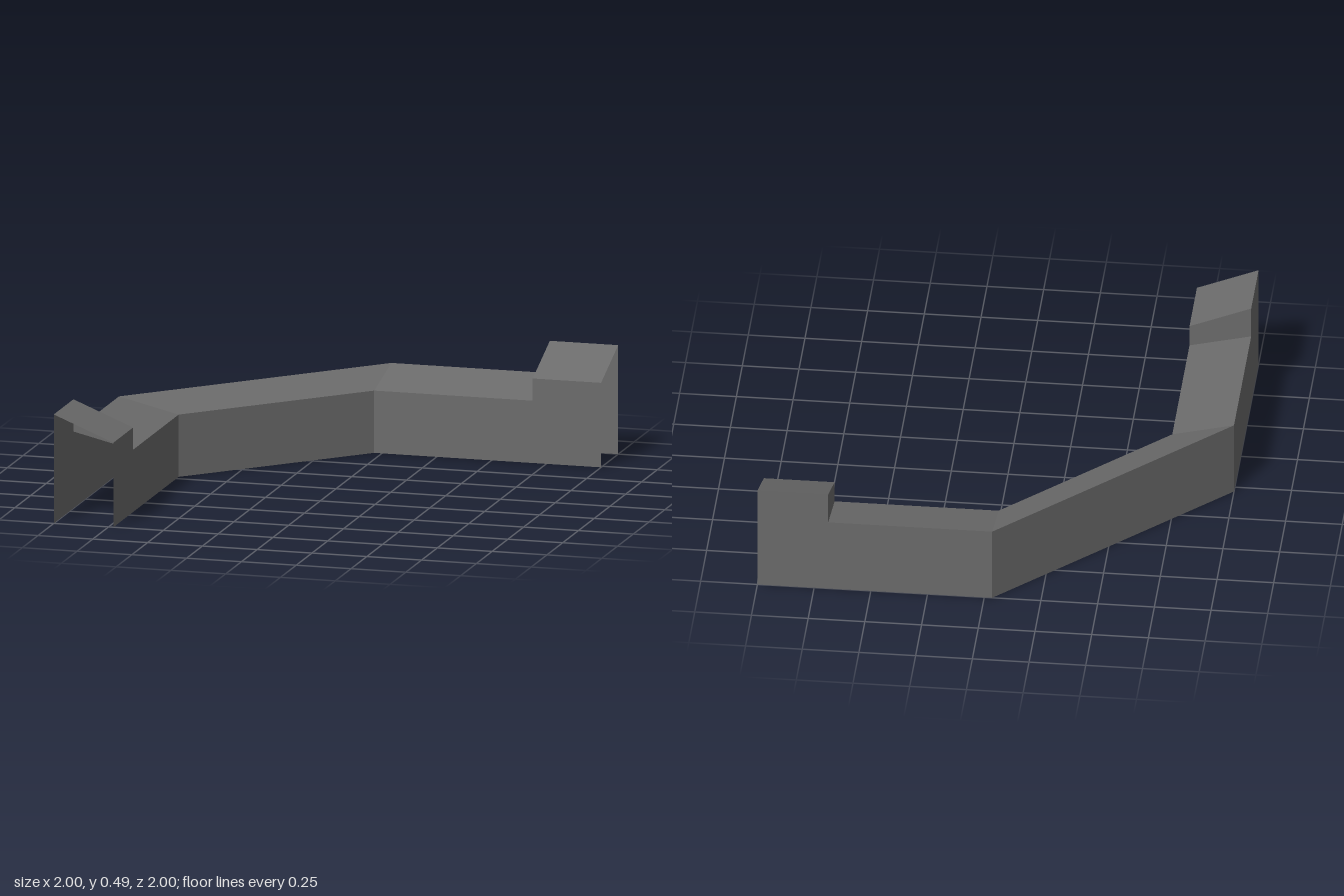
import * as THREE from 'three';

// Stations along the run: [outer x, outer z, inner x, inner z]
const OUT = 1, INN = 0.728, STEP = 0.688, BEND = 0.035;
const stations = [
  [-OUT, 1, -INN, 1],
  [-OUT, STEP, -INN, STEP],
  [-OUT, -BEND, -INN, -BEND],
  [-BEND, -OUT, -BEND, -INN],
  [STEP, -OUT, STEP, -INN],
  [1, -OUT, 1, -INN],
];
// Eave heights: [outer, inner]
const low = [0.345, 0.28], high = [0.49, 0.38];

const outer = (s, y) => [s[0], y, s[1]];
const inner = (s, y) => [s[2], y, s[3]];

// Flat shell made of quads, each given by four corners in order
function shell(name, quads, material) {
  const pos = [];
  for (const [a, b, c, d] of quads) pos.push(...a, ...b, ...c, ...a, ...c, ...d);
  const geo = new THREE.BufferGeometry();
  geo.setAttribute('position', new THREE.Float32BufferAttribute(pos, 3));
  geo.computeVertexNormals();
  const mesh = new THREE.Mesh(geo, material);
  mesh.name = name;
  return mesh;
}

export function createModel() {
  const grey = new THREE.MeshStandardMaterial({ color: 0x6b6b6b, side: THREE.DoubleSide });
  grey.name = 'dark grey';

  const outerWall = [], innerWall = [], roof = [], raisedRoof = [], steps = [];
  for (let i = 0; i < stations.length - 1; i++) {
    const a = stations[i], b = stations[i + 1];
    const raised = i === 0 || i === stations.length - 2;
    const [ho, hi] = raised ? high : low;
    outerWall.push([outer(b, 0), outer(a, 0), outer(a, ho), outer(b, ho)]);
    innerWall.push([inner(a, 0), inner(b, 0), inner(b, hi), inner(a, hi)]);
    (raised ? raisedRoof : roof).push([inner(a, hi), inner(b, hi), outer(b, ho), outer(a, ho)]);
  }

  // Upright faces where the roof rises to the end sections
  const s = stations[1], t = stations[4];
  steps.push([inner(s, low[1]), outer(s, low[0]), outer(s, high[0]), inner(s, high[1])]);
  steps.push([outer(t, low[0]), inner(t, low[1]), inner(t, high[1]), outer(t, high[0])]);

  // Ends and underside stay open
  const group = new THREE.Group();
  group.name = 'angledWall';
  group.add(
    shell('outerWall', outerWall, grey),
    shell('innerWall', innerWall, grey),
    shell('slopedRoof', roof, grey),
    shell('raisedEndRoofs', raisedRoof, grey),
    shell('roofSteps', steps, grey),
  );
  return group;
}
